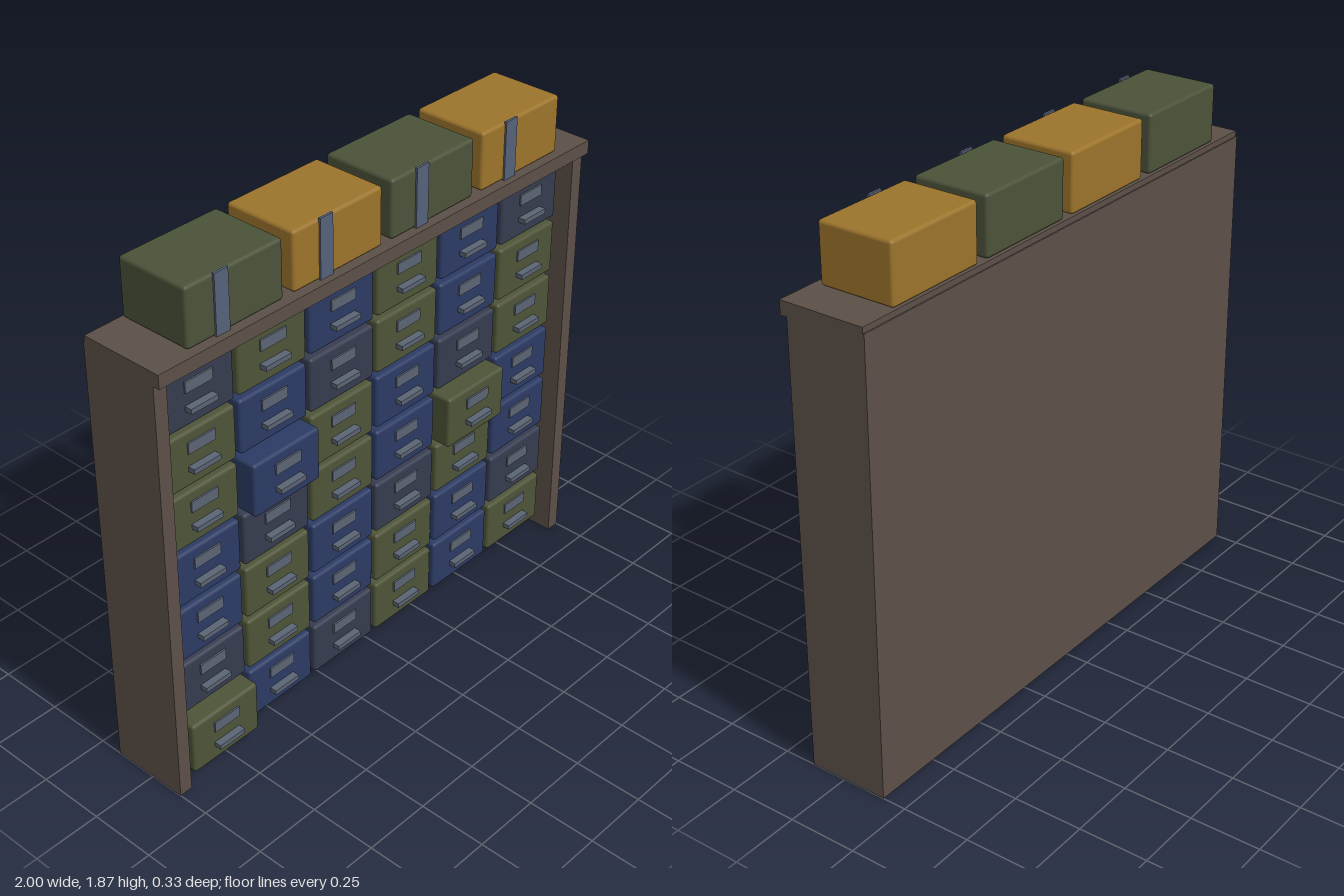
import * as THREE from 'three';
import { RoundedBoxGeometry } from 'three/addons/geometries/RoundedBoxGeometry.js';

const mat = (name, color) => {
  const m = new THREE.MeshStandardMaterial({ color });
  m.name = name;
  return m;
};

export function createModel() {
  const root = new THREE.Group();
  root.name = 'drawerCabinet';

  const brown = mat('brown frame', 0x5c5048);
  const metal = mat('grey metal', 0x5a6474);
  const strapBlue = mat('strap blue', 0x56627a);
  const boxGreen = mat('box green', 0x4b5239);
  const boxAmber = mat('box amber', 0x9c742c);
  const drawerMats = {
    s: mat('slate', 0x363c50),
    o: mat('olive', 0x4e5437),
    b: mat('navy', 0x2c3b64),
  };

  const add = (parent, name, geo, material, x, y, z) => {
    const mesh = new THREE.Mesh(geo, material);
    mesh.name = name;
    mesh.position.set(x, y, z);
    parent.add(mesh);
    return mesh;
  };
  // Box given by its min and max corners
  const slab = (name, x0, x1, y0, y1, z0, z1) =>
    add(root, name, new THREE.BoxGeometry(x1 - x0, y1 - y0, z1 - z0), brown,
      (x0 + x1) / 2, (y0 + y1) / 2, (z0 + z1) / 2);

  // Frame: sides, backing and top board
  slab('leftSide', 0.95, 1, 0, 1.605, -0.163, 0.133);
  slab('rightSide', -1, -0.95, 0, 1.605, -0.163, 0.133);
  slab('backing', -0.95, 0.95, 0, 1.605, -0.163, -0.04);
  slab('backLip', -1, 1, 1.605, 1.635, -0.163, -0.158);
  slab('topBoard', -1, 1, 1.605, 1.655, -0.158, 0.158);

  // Drawers, top row first; a capital letter marks one pulled forward
  const rows = ['sobobs', 'obsobo', 'oBobso', 'bsobOb', 'bobsob', 'sobobs', 'Obsobo'];
  const depth = 0.17;
  const drawerGeo = new RoundedBoxGeometry(0.296, 0.2, depth, 2, 0.012);
  const labelGeo = new THREE.BoxGeometry(0.112, 0.04, 0.008);
  const handleGeo = new THREE.BoxGeometry(0.112, 0.018, 0.03);
  rows.forEach((row, r) => [...row].forEach((key, c) => {
    const pulled = key !== key.toLowerCase();
    const drawer = new THREE.Group();
    drawer.name = 'drawer';
    drawer.position.set((c - 2.5) * 0.3135, 1.461 - r * 0.218, pulled ? 0.136 : 0.083);
    add(drawer, 'drawerBody', drawerGeo, drawerMats[key.toLowerCase()], 0, 0, -depth / 2);
    add(drawer, 'labelHolder', labelGeo, metal, 0, 0.042, 0.002);
    add(drawer, 'handle', handleGeo, metal, 0, -0.033, 0.012);
    root.add(drawer);
  }));

  // Storage boxes on top, each with a strap down the front
  const boxGeo = new RoundedBoxGeometry(0.396, 0.21, 0.28, 2, 0.012);
  const strapGeo = new THREE.BoxGeometry(0.056, 0.212, 0.009);
  for (let i = 0; i < 4; i++) {
    const x = (i - 1.5) * 0.4393;
    add(root, 'storageBox', boxGeo, i % 2 ? boxAmber : boxGreen, x, 1.76, -0.012);
    add(root, 'boxStrap', strapGeo, strapBlue, x - 0.06, 1.762, 0.13);
  }

  return root;
}
